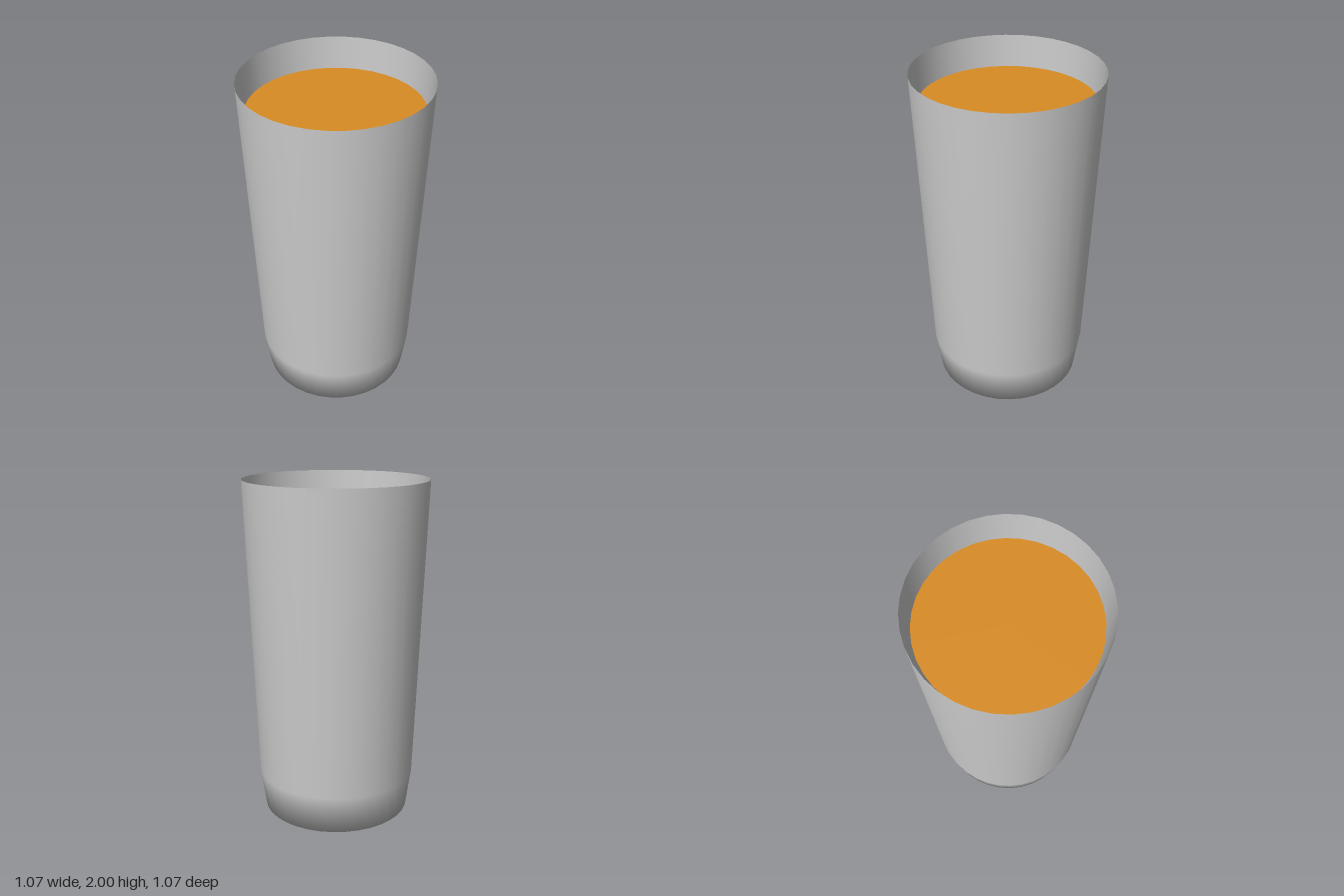
import * as THREE from 'three';

const SIDES = 36;

export function createModel() {
  const model = new THREE.Group();
  model.name = 'drinkingGlass';

  // Thin open cup: closed base, steeper foot, then a long tapered wall
  const profile = [[0, 0], [0.44, 0], [0.472, 0.23], [0.537, 2]]
    .map(([r, y]) => new THREE.Vector2(r, y));
  const cup = new THREE.Mesh(
    new THREE.LatheGeometry(profile, SIDES),
    new THREE.MeshStandardMaterial({ color: 0xcccccc, side: THREE.DoubleSide })
  );
  cup.name = 'cup';
  model.add(cup);

  // Flat surface of the drink, a little below the rim
  const drink = new THREE.Mesh(
    new THREE.CircleGeometry(0.5, SIDES).rotateX(-Math.PI / 2),
    new THREE.MeshStandardMaterial({ color: 0xd98c24, side: THREE.DoubleSide })
  );
  drink.name = 'drinkSurface';
  drink.position.y = 1.82;
  model.add(drink);

  return model;
}
